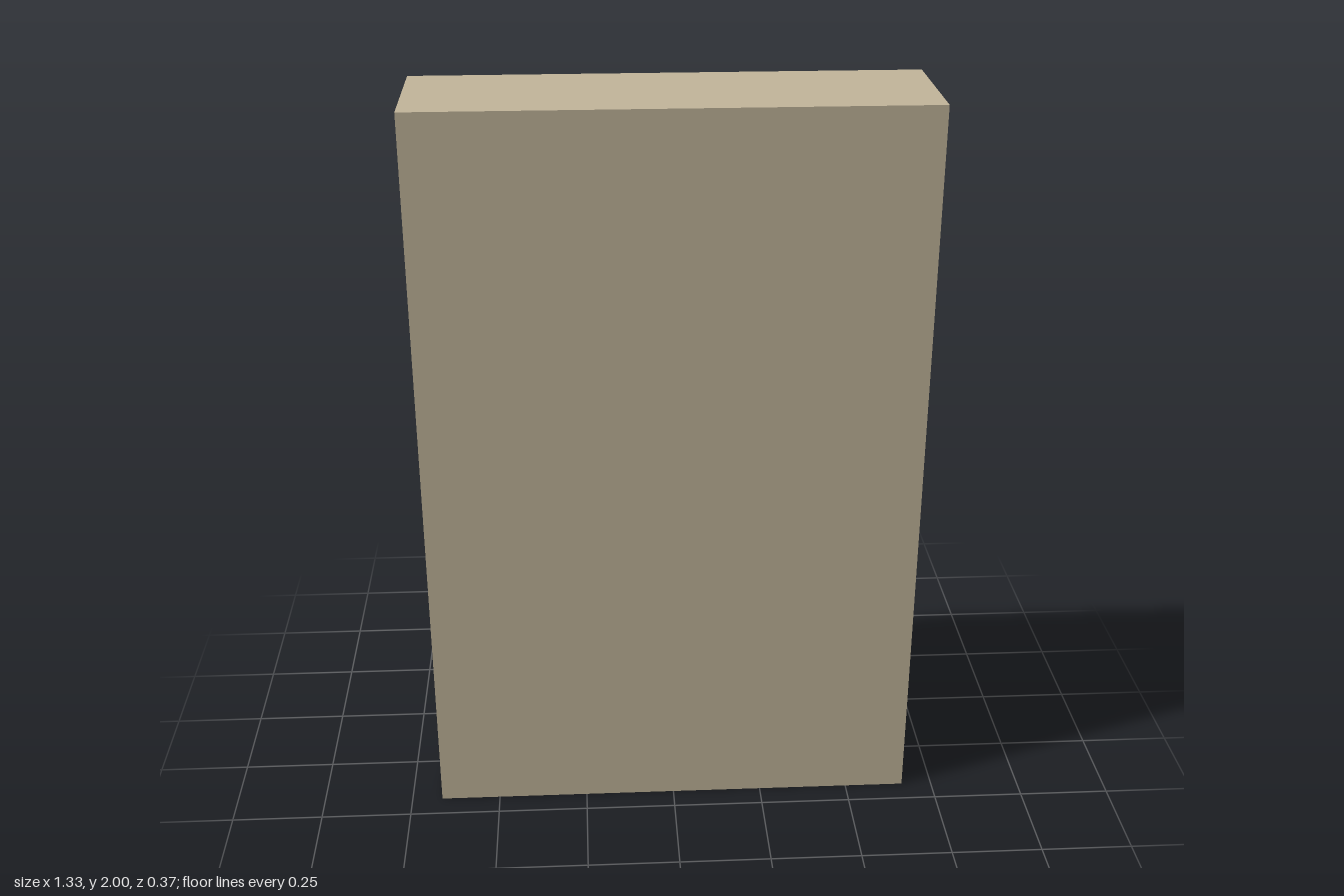
import * as THREE from 'three';

const W = 1.33, H = 2, D = 0.365;          // block size
const DEPTH = 0.09, FILLET = 0.07;         // recess depth and floor fillet
const RW = 0.342, RH = 0.673, RR = 0.13;   // recess half width, half height, corner radius

// Counter-clockwise rounded rectangle outline about (0, cy)
function outline(hw, hh, r, cy, n = 10) {
  const pts = [];
  [[1, -1], [1, 1], [-1, 1], [-1, -1]].forEach(([sx, sy], k) => {
    for (let i = 0; i <= n; i++) {
      const a = (k - 1 + i / n) * Math.PI / 2;
      pts.push(new THREE.Vector2(sx * (hw - r) + r * Math.cos(a), cy + sy * (hh - r) + r * Math.sin(a)));
    }
  });
  return pts;
}

const recessRing = (inset) => outline(RW - inset, RH - inset, RR - inset, 1);

// Recess wall: straight side, then a quarter-round blend into the floor
function wallGeometry() {
  const profile = [[0, 0]];
  for (let i = 0; i <= 10; i++) {
    const a = i / 10 * Math.PI / 2;
    profile.push([FILLET * (1 - Math.cos(a)), DEPTH - FILLET + FILLET * Math.sin(a)]);
  }
  const pos = [], idx = [];
  let n = 0;
  profile.forEach(([inset, depth]) => {
    const ring = recessRing(inset);
    n = ring.length;
    ring.forEach((p) => pos.push(p.x, p.y, -depth));
  });
  for (let i = 0; i < profile.length - 1; i++) {
    for (let j = 0; j < n; j++) {
      const a = i * n + j, b = i * n + (j + 1) % n;
      idx.push(a, b, a + n, b, b + n, a + n);
    }
  }
  const g = new THREE.BufferGeometry();
  g.setAttribute('position', new THREE.Float32BufferAttribute(pos, 3));
  g.setIndex(idx);
  g.computeVertexNormals();
  return g;
}

export function createModel() {
  const model = new THREE.Group();
  const material = new THREE.MeshStandardMaterial({ color: 0xc2b59b });
  const add = (parent, name, geometry, x = 0, y = 0, z = 0) => {
    const mesh = new THREE.Mesh(geometry, material);
    mesh.name = name;
    mesh.position.set(x, y, z);
    parent.add(mesh);
    return mesh;
  };

  // Block without its back face
  const box = new THREE.BoxGeometry(W, H, D);
  box.setIndex(Array.from(box.index.array).slice(0, 30));
  box.clearGroups();
  add(model, 'block', box, 0, H / 2, 0);

  // Back side, built facing +z with the back plane at z = 0, then turned round
  const back = new THREE.Group();
  back.name = 'backSide';
  back.rotation.y = Math.PI;
  back.position.z = -D / 2;
  model.add(back);

  // Back face with the recess opening
  const face = new THREE.Shape([
    new THREE.Vector2(-W / 2, 0), new THREE.Vector2(W / 2, 0),
    new THREE.Vector2(W / 2, H), new THREE.Vector2(-W / 2, H),
  ]);
  face.holes.push(new THREE.Path(recessRing(0).reverse()));
  add(back, 'backFace', new THREE.ShapeGeometry(face));

  // Recess
  add(back, 'recessWall', wallGeometry());
  add(back, 'recessFloor', new THREE.ShapeGeometry(new THREE.Shape(recessRing(FILLET))), 0, 0, -DEPTH);

  // Stepped panel
  const slab = (name, hw, hh, r, z, t) => add(back, name,
    new THREE.ExtrudeGeometry(new THREE.Shape(outline(hw, hh, r, 1.346, 5)), { depth: t, bevelEnabled: false }), 0, 0, z);
  slab('panelBase', 0.185, 0.231, 0.022, -DEPTH, 0.02);
  slab('panelScreen', 0.17, 0.211, 0.008, -DEPTH + 0.02, 0.016);

  // Round button
  const button = new THREE.CylinderGeometry(0.06, 0.06, 0.018, 48);
  button.rotateX(Math.PI / 2);
  add(back, 'button', button, 0, 0.912, -DEPTH + 0.009);

  return model;
}
